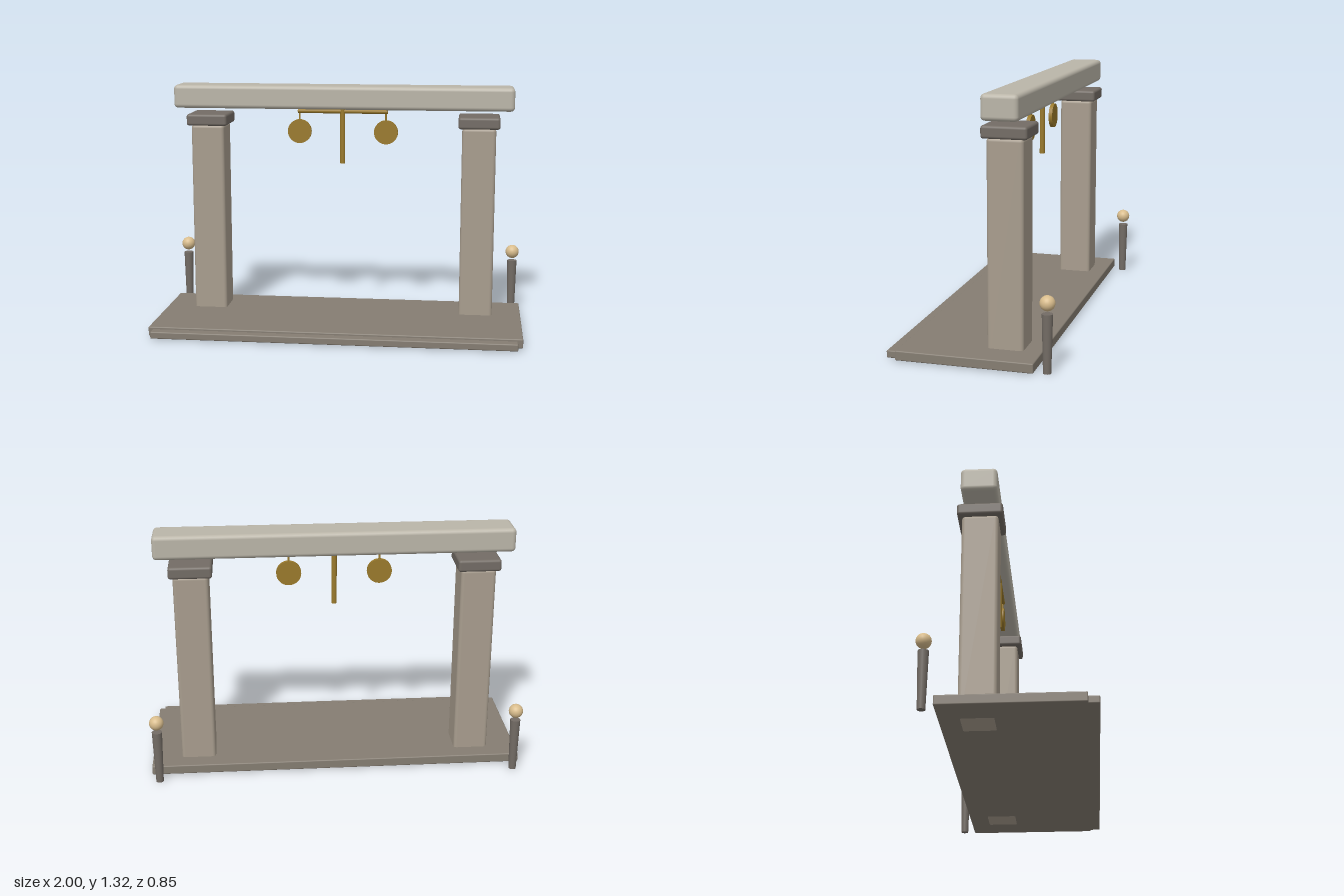
import * as THREE from 'three';
import { RoundedBoxGeometry } from 'three/addons/geometries/RoundedBoxGeometry.js';

const material = (color) => new THREE.MeshStandardMaterial({ color });

export function createModel() {
  const model = new THREE.Group();
  model.name = 'gateway';

  const paleStone = material(0xbab5a8);
  const stone = material(0xa89d8e);
  const darkStone = material(0x736c65);
  const floorStone = material(0x857d72);
  const brass = material(0x9a7a2c);
  const lampGlow = material(0xd8bc8c);

  const add = (name, geometry, mat, x, y, z) => {
    const mesh = new THREE.Mesh(geometry, mat);
    mesh.name = name;
    mesh.position.set(x, y, z);
    model.add(mesh);
    return mesh;
  };

  // Softly rounded block given by its limits on each axis
  const block = (name, mat, [x0, x1], [y0, y1], [z0, z1], radius) =>
    add(name, new RoundedBoxGeometry(x1 - x0, y1 - y0, z1 - z0, 3, radius), mat,
      (x0 + x1) / 2, (y0 + y1) / 2, (z0 + z1) / 2);

  const rod = (name, mat, rTop, rBottom, y0, y1, x, z) =>
    add(name, new THREE.CylinderGeometry(rTop, rBottom, y1 - y0, 20), mat, x, (y0 + y1) / 2, z);

  // Floor slab with a low front step
  block('floorSlab', floorStone, [-1, 1], [0.005, 0.055], [-0.33, 0.37], 0.006);
  block('frontStep', floorStone, [-0.977, 0.973], [0.005, 0.043], [0.3, 0.424], 0.006);

  // Lintel floating just above the capitals
  block('lintel', paleStone, [-0.938, 0.938], [1.192, 1.32], [-0.238, -0.053], 0.022);

  const scaleZ = -0.112;
  for (const side of [-1, 1]) {
    const label = side > 0 ? 'left' : 'right';
    const span = (a, b) => (side > 0 ? [a, b] : [-b, -a]);

    // Pillar and capital
    block(label + 'Pillar', stone, span(0.658, 0.842), [0.004, 1.1], [-0.238, -0.053], 0.018);
    block(label + 'Capital', darkStone, span(0.637, 0.863), [1.097, 1.161], [-0.262, -0.03], 0.014);

    // Tapered lamp post with its globe, behind the slab
    rod(label + 'LampPost', darkStone, 0.027, 0.02, 0, 0.295, side * 0.957, -0.388);
    add(label + 'LampGlobe', new THREE.SphereGeometry(0.038, 24, 16), lampGlow,
      side * 0.957, 0.347, -0.388);

    // Hanging disc on a short rod
    rod(label + 'DiscHanger', brass, 0.005, 0.005, 1.12, 1.18, side * 0.24, scaleZ);
    const disc = add(label + 'Disc', new THREE.CylinderGeometry(0.066, 0.066, 0.02, 32), brass,
      side * 0.24, 1.066, scaleZ);
    disc.rotation.x = Math.PI / 2;
  }

  // Crossbar and central stem that carry the discs
  const crossbar = add('crossbar', new THREE.CylinderGeometry(0.012, 0.012, 0.498, 16), brass,
    0, 1.179, scaleZ);
  crossbar.rotation.z = Math.PI / 2;
  rod('centralStem', brass, 0.014, 0.014, 0.89, 1.19, 0, scaleZ);

  return model;
}
